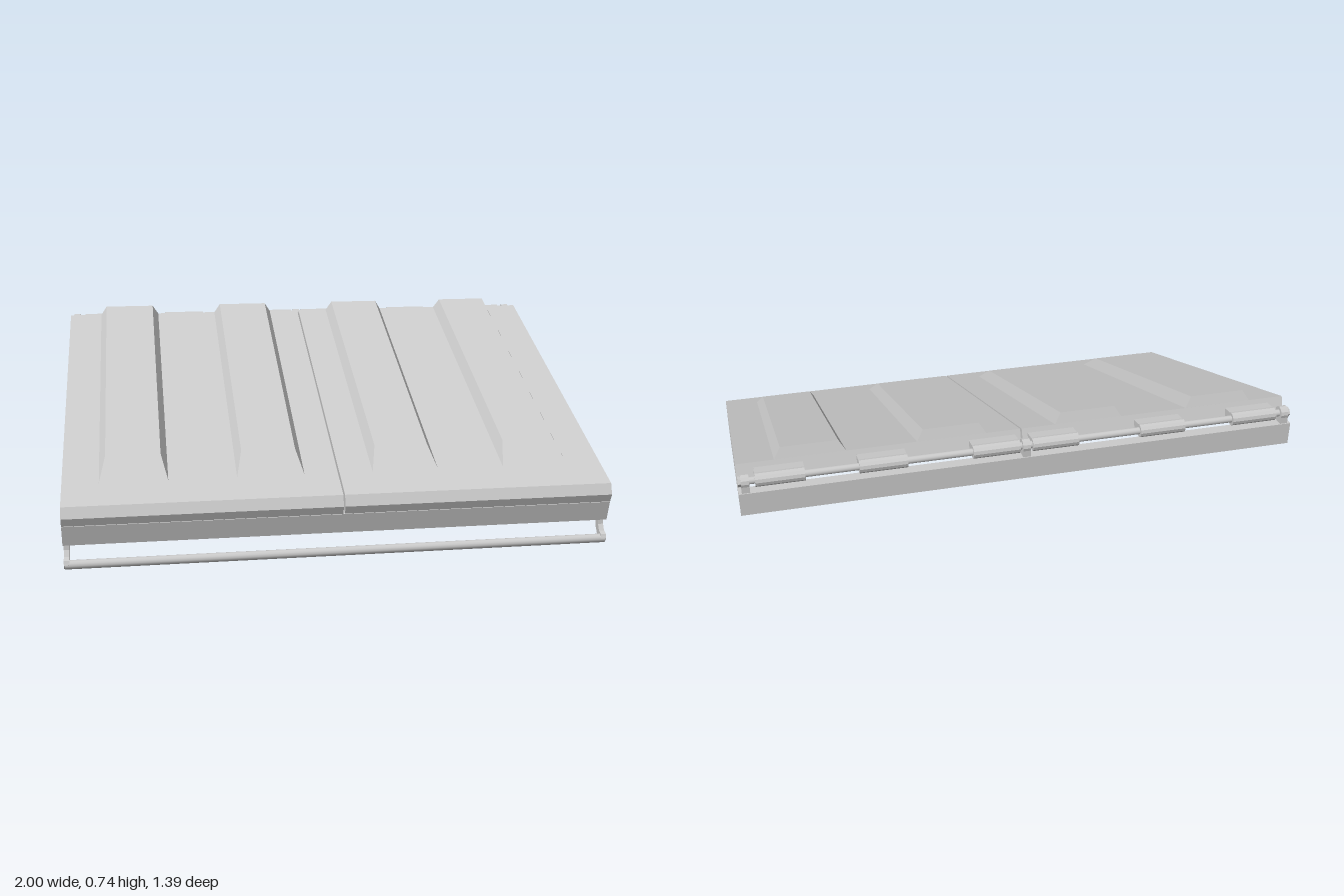
import * as THREE from 'three';
import { ConvexGeometry } from 'three/addons/geometries/ConvexGeometry.js';

const material = new THREE.MeshStandardMaterial({ color: 0xcccccc, flatShading: true });
const smooth = new THREE.MeshStandardMaterial({ color: 0xcccccc });

export function createModel() {
  const model = new THREE.Group();
  model.name = 'hingedLid';

  function add(name, geometry, mat = material) {
    const mesh = new THREE.Mesh(geometry, mat);
    mesh.name = name;
    model.add(mesh);
    return mesh;
  }

  // Sweeps a [z, y] side profile across x, from x0 to x1
  function prism(name, profile, x0, x1) {
    const shape = new THREE.Shape(profile.map(([z, y]) => new THREE.Vector2(-z, y)));
    const geometry = new THREE.ExtrudeGeometry(shape, { depth: x1 - x0, bevelEnabled: false });
    geometry.rotateY(Math.PI / 2).translate(x0, 0, 0);
    return add(name, geometry);
  }

  // Cylinder lying along x
  function rod(name, radius, sides, x0, x1, y, z, mat) {
    const geometry = new THREE.CylinderGeometry(radius, radius, x1 - x0, sides);
    geometry.rotateZ(Math.PI / 2).translate((x0 + x1) / 2, y, z);
    return add(name, geometry, mat);
  }

  const topY = (z) => 0.24 + 0.3633 * (0.68 - z);
  const underY = (z) => 0.37 - 0.364 * (z - 0.13);

  // Frame: thin side walls, front wall and back wall around an open bottom
  const sideWall = [
    [0.679, 0.167], [0.655, 0.09], [0.625, 0.1], [0.595, 0.11], [-0.65, 0.555],
    [-0.692, 0.555], [-0.692, 0.64], [-0.65, 0.64], [0.13, 0.368],
  ];
  prism('rightFrameWall', sideWall, -1, -0.97);
  prism('leftFrameWall', sideWall, 0.97, 1);
  prism('frontFrameWall', [[0.679, 0.167], [0.655, 0.09], [0.625, 0.1], [0.61, 0.105], [0.637, 0.184]], -0.97, 0.97);
  prism('backFrameWall', [[-0.65, 0.555], [-0.692, 0.555], [-0.692, 0.64], [-0.65, 0.64]], -0.97, 0.97);

  // Two lid halves with a narrow slit between them
  const lid = [
    [0.68, 0.24], [0.695, 0.2], [0.68, 0.169], [0.13, 0.37],
    [-0.625, underY(-0.625)], [-0.602, 0.705],
  ];
  const liner = [
    [0.57, underY(0.57) + 0.01], [0.565, underY(0.565) - 0.008],
    [-0.575, underY(-0.575) - 0.008], [-0.58, underY(-0.58) + 0.01],
  ];
  for (const [side, x0, x1] of [['right', -1, -0.003], ['left', 0.003, 1]]) {
    prism(side + 'Lid', lid, x0, x1);
    prism(side + 'LidLiner', liner, side === 'left' ? 0.003 : -0.92, side === 'left' ? 0.92 : -0.003);
  }

  // Raised tapered ribs on the lids
  for (const x of [-0.745, -0.25, 0.25, 0.745]) {
    const points = [];
    for (const s of [-1, 1]) {
      points.push(
        new THREE.Vector3(x + s * 0.124, topY(0.56) - 0.001, 0.56),
        new THREE.Vector3(x + s * 0.124, topY(-0.6) - 0.001, -0.601),
        new THREE.Vector3(x + s * 0.1, 0.36, 0.465),
        new THREE.Vector3(x + s * 0.1, 0.742, -0.587),
      );
    }
    add('lidRib', new ConvexGeometry(points));
  }

  // Hinge rod, its supports and the lid tabs wrapped around it
  const hy = 0.675, hz = -0.666;
  rod('hingeRod', 0.013, 16, -0.995, 0.995, hy, hz, smooth);
  for (const x of [-0.975, 0, 0.975]) {
    prism('hingePost', [[-0.646, 0.635], [-0.688, 0.635], [-0.688, hy], [-0.646, hy]], x - 0.014, x + 0.014);
    rod('hingePostEye', 0.025, 12, x - 0.014, x + 0.014, hy, hz);
  }
  for (const s of [-1, 1]) {
    rod('hingeRodNut', 0.018, 6, s * 0.99 - 0.008, s * 0.99 + 0.008, hy, hz);
    for (const x of [0.107, 0.505, 0.857]) {
      const a = s * x - 0.084, b = s * x + 0.084;
      prism('hingeTab', [[-0.607, 0.688], [-0.618, 0.65], [-0.66, 0.654], [-0.668, 0.697]], a, b);
      rod('hingeTabEye', 0.024, 12, a, b, hy, hz);
    }
  }

  // Front handle: curved hook arms carrying a cross bar
  const arm = [
    [0.628, 0.105], [0.63, 0.065], [0.643, 0.043], [0.663, 0.036], [0.669, 0.02],
    [0.655, 0.003], [0.642, 0.003], [0.606, 0.05], [0.595, 0.112],
  ];
  prism('rightHandleArm', arm, -0.998, -0.978);
  prism('leftHandleArm', arm, 0.978, 0.998);
  rod('handleBar', 0.0165, 12, -0.995, 0.995, 0.0175, 0.653, smooth);

  // Stand exactly on the ground
  const box = new THREE.Box3().setFromObject(model);
  for (const mesh of model.children) mesh.geometry.translate(0, -box.min.y, 0);
  return model;
}
